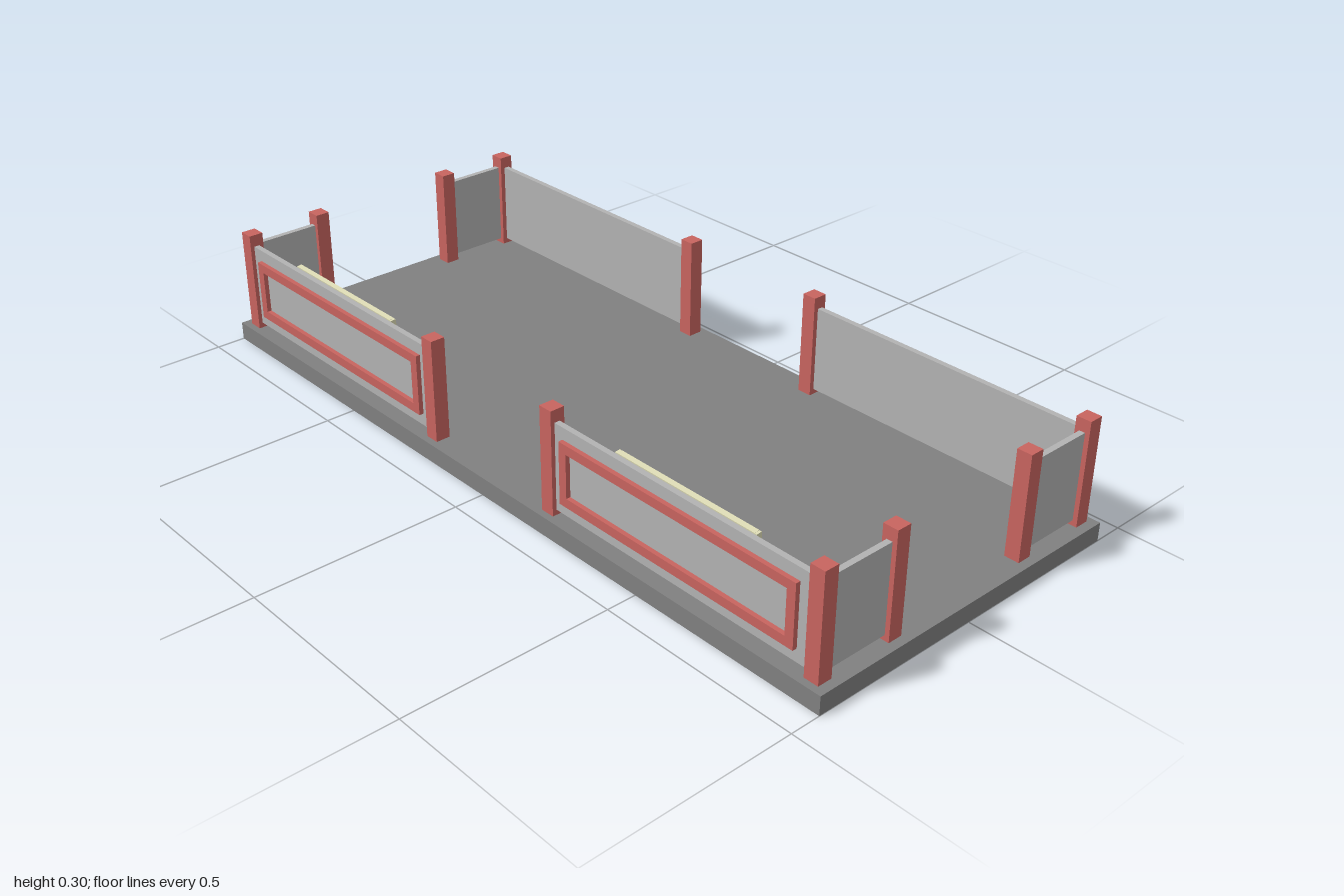
import * as THREE from 'three';

const stone = new THREE.MeshStandardMaterial({ color: 0x808080 });
const panelGrey = new THREE.MeshStandardMaterial({ color: 0xb2b2b2 });
const red = new THREE.MeshStandardMaterial({ color: 0xc8645f });
const cream = new THREE.MeshStandardMaterial({ color: 0xdcdab4 });

const FLOOR = 0.045;

function box(parent, name, mat, size, pos) {
  const mesh = new THREE.Mesh(new THREE.BoxGeometry(...size), mat);
  mesh.position.set(...pos);
  mesh.name = name;
  parent.add(mesh);
  return mesh;
}

// Rectangular red moulding, lying in the z-y plane
function panelFrame(width, height, bar, depth) {
  const w = width / 2, h = height / 2;
  const rect = (C, a, b) => {
    const p = new C();
    p.moveTo(-a, -b).lineTo(a, -b).lineTo(a, b).lineTo(-a, b).closePath();
    return p;
  };
  const shape = rect(THREE.Shape, w, h);
  shape.holes.push(rect(THREE.Path, w - bar, h - bar));
  const geo = new THREE.ExtrudeGeometry(shape, { depth, bevelEnabled: false });
  geo.translate(0, 0, -depth / 2).rotateY(Math.PI / 2);
  const mesh = new THREE.Mesh(geo, red);
  mesh.name = 'panelFrame';
  return mesh;
}

// One L-shaped corner of the enclosure
function cornerWall(sx, sz) {
  const g = new THREE.Group();
  g.name = 'cornerWall';
  const postH = 0.253, py = FLOOR + postH / 2;
  for (const [x, z] of [[0.392, 0.96], [0.392, 0.205], [0.198, 0.96]])
    box(g, 'post', red, [0.036, postH, 0.036], [sx * x, py, sz * z]);
  box(g, 'sidePanel', panelGrey, [0.014, 0.21, 0.73], [sx * 0.393, 0.163, sz * 0.5825]);
  box(g, 'endPanel', panelGrey, [0.17, 0.21, 0.014], [sx * 0.295, 0.163, sz * 0.96]);
  const frame = panelFrame(0.665, 0.15, 0.022, 0.012);
  frame.position.set(sx * 0.405, 0.164, sz * 0.58);
  g.add(frame);
  return g;
}

// Slatted bench facing +x
function bench() {
  const g = new THREE.Group();
  g.name = 'bench';
  for (const x of [-0.047, 0.047])
    for (const z of [-0.185, 0.185])
      box(g, 'benchLeg', cream, [0.016, 0.07, 0.016], [x, 0.035, z]);
  for (const x of [-0.047, 0.047])
    box(g, 'seatRail', cream, [0.012, 0.014, 0.37], [x, 0.066, 0]);
  for (const z of [-0.185, 0.185])
    box(g, 'seatBearer', cream, [0.11, 0.014, 0.012], [0, 0.066, z]);
  box(g, 'seat', cream, [0.124, 0.012, 0.4], [0, 0.079, 0]);
  box(g, 'seatCushionBoard', cream, [0.09, 0.005, 0.37], [0.01, 0.087, 0]);

  // Backrest leaning slightly outward
  const back = new THREE.Group();
  back.name = 'backrest';
  back.position.set(-0.045, 0.083, 0);
  back.rotation.z = 0.1;
  for (const z of [-0.192, 0.192])
    box(back, 'backStile', cream, [0.013, 0.125, 0.014], [0, 0.0625, z]);
  for (const y of [0.012, 0.118])
    box(back, 'backRail', cream, [0.013, 0.015, 0.385], [0, y, 0]);
  for (let i = 0; i < 11; i++)
    box(back, 'backSlat', cream, [0.007, 0.1, 0.014], [0, 0.065, -0.16 + i * 0.032]);
  g.add(back);
  return g;
}

export function createModel() {
  const model = new THREE.Group();
  model.name = 'walledPlatform';
  box(model, 'platform', stone, [0.854, FLOOR, 2], [0, FLOOR / 2, 0]);
  for (const sx of [-1, 1]) for (const sz of [-1, 1]) model.add(cornerWall(sx, sz));
  for (const z of [-0.605, 0.57]) {
    const b = bench();
    b.position.set(-0.302, FLOOR, z);
    model.add(b);
  }
  return model;
}
